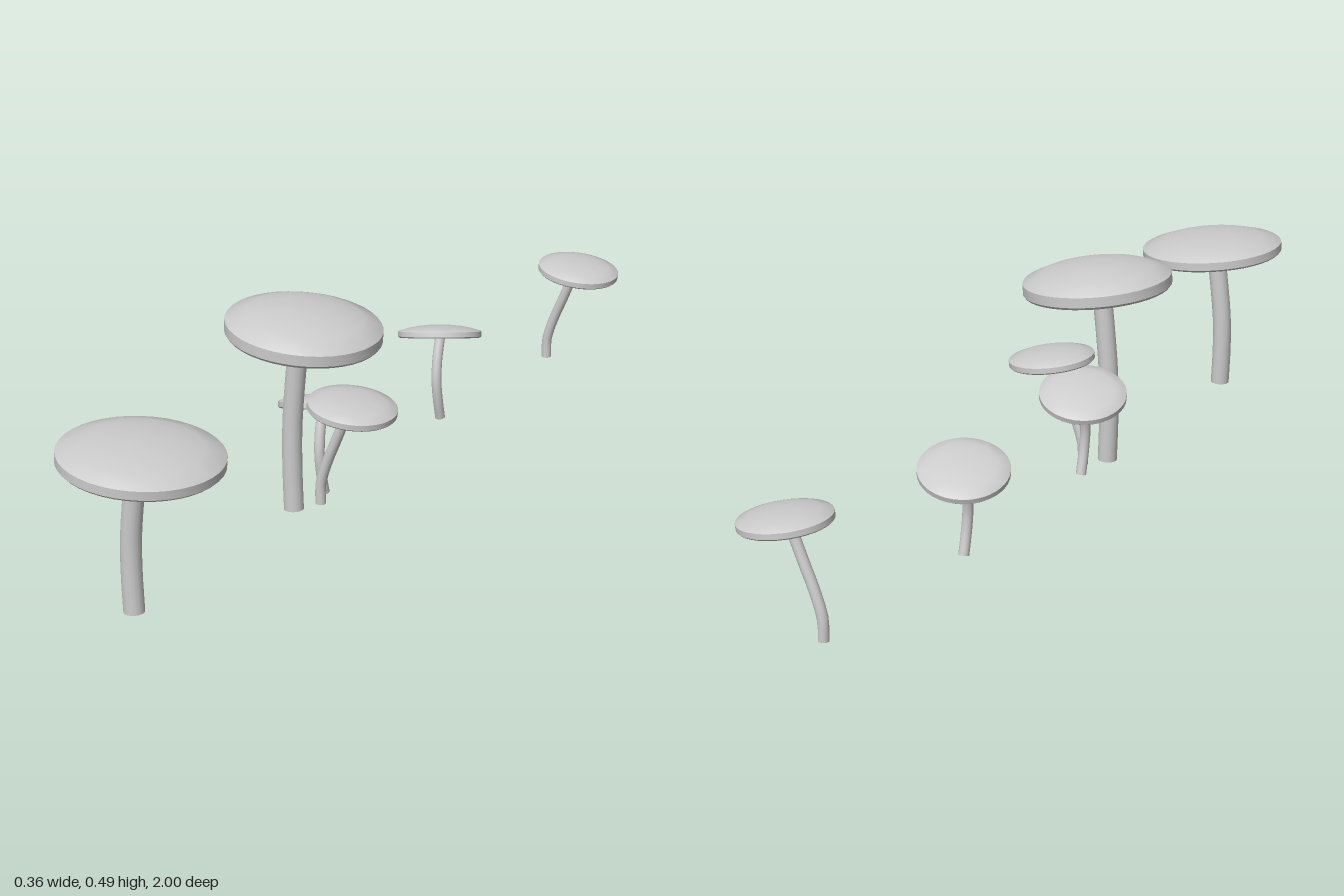
import * as THREE from 'three';
import { toCreasedNormals } from 'three/addons/utils/BufferGeometryUtils.js';

const material = new THREE.MeshStandardMaterial({ color: 0xcccccc });

// Disc cap: flat underside, upright rim with a small bevel, shallow dome
function makeCap(r, rim, dome) {
  const b = rim * 0.18;
  const profile = [
    [0, 0], [r - b, 0], [r, b], [r, rim - b / 2], [r * 0.985, rim],
    [r * 0.74, rim + dome * 0.5], [r * 0.52, rim + dome * 0.78], [r * 0.27, rim + dome * 0.95], [0, rim + dome],
  ].map(([x, y]) => new THREE.Vector2(x, y));
  const cap = new THREE.Mesh(toCreasedNormals(new THREE.LatheGeometry(profile, 40), 0.5), material);
  cap.name = 'cap';
  return cap;
}

// Bent stem swept along a curve, with a closed foot
function makeStem(path, r) {
  const points = path.map((p) => new THREE.Vector3(...p));
  const stem = new THREE.Group();
  stem.name = 'stem';
  const shaft = new THREE.Mesh(
    new THREE.TubeGeometry(new THREE.CatmullRomCurve3(points), 10, r, 16), material);
  shaft.name = 'stemShaft';
  const foot = new THREE.Mesh(new THREE.CircleGeometry(r, 16), material);
  foot.name = 'stemFoot';
  foot.rotation.x = Math.PI / 2;
  foot.position.copy(points[0]);
  stem.add(shaft, foot);
  return stem;
}

// slope = rise of the cap per unit of x and of z
function makeMushroom(name, { path, stemR, capAt, capR, rim, dome, slope }, z, scaleY = 1) {
  const g = new THREE.Group();
  g.name = name;
  const cap = makeCap(capR, rim, dome);
  cap.position.set(...capAt);
  cap.quaternion.setFromUnitVectors(
    new THREE.Vector3(0, 1, 0), new THREE.Vector3(-slope[0], 1, -slope[1]).normalize());
  g.add(makeStem(path, stemR), cap);
  g.position.z = z;
  g.scale.y = scaleY;
  return g;
}

// Three kinds of mushroom, each used twice along z
const large = {
  path: [[-0.038, 0, 0], [-0.041, 0.08, 0], [-0.04, 0.16, 0], [-0.031, 0.25, 0], [-0.018, 0.342, 0]],
  stemR: 0.0225, capAt: [-0.009, 0.334, 0], capR: 0.172, rim: 0.026, dome: 0.027, slope: [-0.084, 0],
};
const leaning = {
  path: [[-0.003, 0, 0], [-0.003, 0.045, 0], [0.013, 0.1, 0], [0.042, 0.17, 0], [0.071, 0.243, 0]],
  stemR: 0.012, capAt: [0.079, 0.238, 0], capR: 0.1, rim: 0.017, dome: 0.0155, slope: [-0.13, 0],
};
const nodding = {
  path: [[-0.03, 0, 0.018], [-0.03, 0.05, 0.03], [-0.032, 0.1, 0.034], [-0.036, 0.15, 0.024], [-0.04, 0.203, 0.004]],
  stemR: 0.012, capAt: [-0.042, 0.197, 0.003], capR: 0.1, rim: 0.016, dome: 0.015, slope: [0.18, 0.29],
};

export function createModel() {
  const model = new THREE.Group();
  model.name = 'mushrooms';
  model.add(
    makeMushroom('largeMushroom', large, 0.827),
    makeMushroom('tallMushroom', large, 0.229, 1.24),
    makeMushroom('leaningMushroomNear', leaning, 0.173),
    makeMushroom('noddingMushroomNear', nodding, 0.098),
    makeMushroom('noddingMushroomFar', nodding, -0.423),
    makeMushroom('leaningMushroomFar', leaning, -0.9),
  );
  return model;
}
